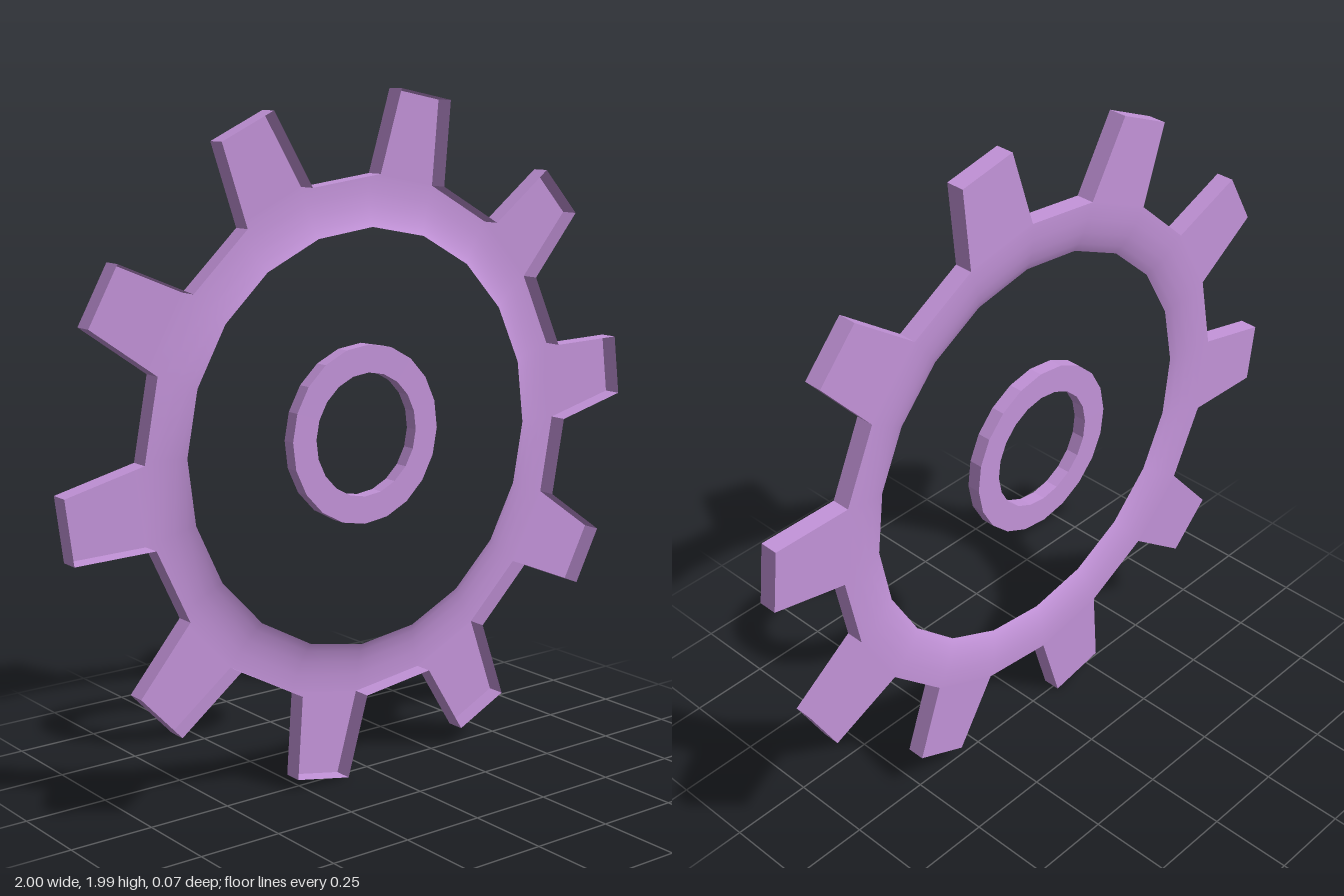
import * as THREE from 'three';

const TEETH = 10, STEPS = TEETH * 2, CY = 0.994;
const BACK = -0.026, FRONT = 0.029;
const PHASE = THREE.MathUtils.degToRad(7.2 - 9);   // first root corner
const R_ROOT = 0.76, R_TIP = 1.0;
const TIP_INSET = THREE.MathUtils.degToRad(3.7);

// Rim cross-section from root to inner lip: radius, z, slope
const RIM = [
  [R_ROOT, BACK, 0], [0.71, BACK + 0.002, 0.08], [0.67, BACK + 0.007, 0.19],
  [0.635, BACK + 0.016, 0.34], [0.61, BACK + 0.026, 0.55],
];

// The plate is very slightly saddle-shaped: sides lean back, top and bottom forward
const point = (r, a, z) => {
  const x = r * Math.cos(a), y = r * Math.sin(a);
  return new THREE.Vector3(x, y, z + 0.0075 * (y * y - x * x));
};

// Collects quads; corners run anticlockwise seen from outside
function quadBuilder() {
  const pos = [], nor = [];
  return {
    add(corners, normals) {
      const flat = new THREE.Vector3().crossVectors(
        corners[2].clone().sub(corners[0]), corners[3].clone().sub(corners[1])).normalize();
      for (const i of [0, 1, 2, 0, 2, 3]) {
        pos.push(...corners[i].toArray());
        nor.push(...(normals ? normals[i] : flat).toArray());
      }
    },
    build() {
      const g = new THREE.BufferGeometry();
      g.setAttribute('position', new THREE.Float32BufferAttribute(pos, 3));
      g.setAttribute('normal', new THREE.Float32BufferAttribute(nor, 3));
      return g;
    },
  };
}

export function createModel() {
  const model = new THREE.Group();
  model.name = 'gear';
  const material = new THREE.MeshStandardMaterial({ color: 0xc494da, side: THREE.DoubleSide });
  const addMesh = (name, geometry, x = 0, y = CY) => {
    const mesh = new THREE.Mesh(geometry, material);
    mesh.name = name;
    mesh.position.set(x, y, 0);
    model.add(mesh);
  };

  const rim = quadBuilder(), teeth = quadBuilder(), walls = quadBuilder(), hub = quadBuilder();
  const hubSection = [[0.181, -0.033], [0.262, -0.033], [0.262, 0.008], [0.181, 0.008]];
  const softNormal = (slope, t) =>
    new THREE.Vector3(slope * Math.cos(t), slope * Math.sin(t), 1).normalize();

  for (let i = 0; i < STEPS; i++) {
    const a = PHASE + (i * 2 * Math.PI) / STEPS, b = a + (2 * Math.PI) / STEPS;

    // Thin rim sheet, curving forward to its inner lip
    for (let k = 0; k < RIM.length - 1; k++) {
      const [r0, z0, s0] = RIM[k], [r1, z1, s1] = RIM[k + 1];
      rim.add(
        [point(r1, a, z1), point(r0, a, z0), point(r0, b, z0), point(r1, b, z1)],
        [softNormal(s1, a), softNormal(s0, a), softNormal(s0, b), softNormal(s1, b)]);
    }

    // A tapered tooth on every other step, open at the front
    let outline = [[R_ROOT, a], [R_ROOT, b]];
    if (i % 2 === 0) {
      outline = [[R_ROOT, a], [R_TIP, a + TIP_INSET], [R_TIP, b - TIP_INSET], [R_ROOT, b]];
      teeth.add(outline.map(([r, t]) => point(r, t, BACK)));
    }

    // Wall standing along the outer edge
    for (let k = 0; k < outline.length - 1; k++) {
      const [r0, t0] = outline[k], [r1, t1] = outline[k + 1];
      walls.add([point(r0, t0, BACK), point(r1, t1, BACK), point(r1, t1, FRONT), point(r0, t0, FRONT)]);
    }

    // Solid ring at the centre
    hubSection.forEach(([r0, z0], k) => {
      const [r1, z1] = hubSection[(k + 1) % 4];
      hub.add([point(r0, a, z0), point(r0, b, z0), point(r1, b, z1), point(r1, a, z1)]);
    });
  }
  addMesh('rim', rim.build());
  addMesh('teeth', teeth.build());
  addMesh('outerWall', walls.build());
  addMesh('hubRing', hub.build(), -0.005, CY + 0.015);

  return model;
}
